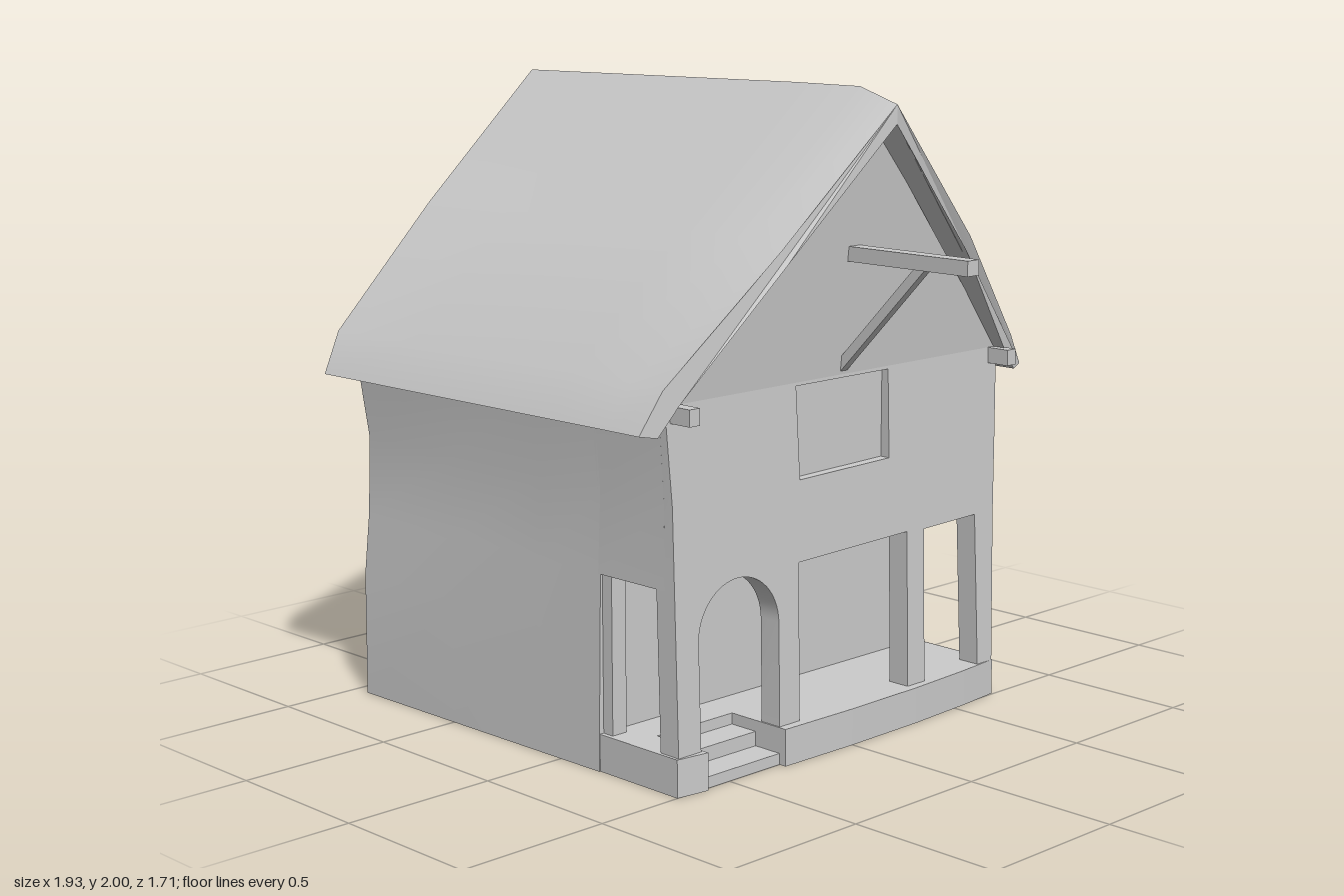
import * as THREE from 'three';
import { toCreasedNormals } from 'three/addons/utils/BufferGeometryUtils.js';

const material = new THREE.MeshStandardMaterial({ color: 0xcccccc });

// Piecewise-linear lookup in rows of [key, value]
function lookup(rows, k) {
  if (k <= rows[0][0]) return rows[0][1];
  for (let i = 1; i < rows.length; i++) {
    const [k0, v0] = rows[i - 1], [k1, v1] = rows[i];
    if (k <= k1) return v0 + (v1 - v0) * (k - k0) / (k1 - k0);
  }
  return rows[rows.length - 1][1];
}

// Skin closed rings of [x, y, z], counter-clockwise as seen from +x, and cap both ends
function loft(rings) {
  const n = rings[0].length, last = rings.length - 1, index = [];
  for (let i = 0; i < last; i++) {
    for (let j = 0; j < n; j++) {
      const k = (j + 1) % n, a = i * n + j, b = i * n + k;
      index.push(a, b, a + n, b, b + n, a + n);
    }
  }
  const flat = (r) => r.map((p) => new THREE.Vector2(-p[2], p[1]));
  for (const [a, b, c] of THREE.ShapeUtils.triangulateShape(flat(rings[last]), [])) {
    index.push(last * n + a, last * n + b, last * n + c);
  }
  for (const [a, b, c] of THREE.ShapeUtils.triangulateShape(flat(rings[0]), [])) index.push(a, c, b);
  const geo = new THREE.BufferGeometry();
  geo.setAttribute('position', new THREE.Float32BufferAttribute(rings.flat(2), 3));
  geo.setIndex(index);
  return toCreasedNormals(geo, 0.4);
}

// Crooked side walls: [height, +z at back, +z at front, -z at back, -z at front]
const wallRows = [
  [0, 0.73, 0.71, 0.70, 0.70],
  [0.4, 0.73, 0.70, 0.72, 0.71],
  [0.6, 0.71, 0.70, 0.74, 0.71],
  [0.85, 0.70, 0.70, 0.765, 0.72],
  [1.14, 0.735, 0.72, 0.74, 0.73],
];
const backX = [[0, -0.94], [0.8, -0.93], [1.14, -0.95]];

// Wall cross-section at one x, for heights from yMin up
function wallRing(yMin, xAt) {
  const rows = wallRows.filter((r) => r[0] >= yMin);
  const point = (r, side) => {
    const x = xAt(r[0]), t = Math.max(0, (x + 0.94) / 1.4), k = side > 0 ? 1 : 3;
    return [x, r[0], side * (r[k] + (r[k + 1] - r[k]) * t)];
  };
  return [...rows.map((r) => point(r, -1)), ...rows.map((r) => point(r, 1)).reverse()];
}

// Roof slab section; the rake leans out toward the ridge and the ridge sags
const roofProfile = [
  [-0.85, 1.07], [-0.77, 1.18], [-0.45, 1.55], [0, 2], [0.4, 1.585], [0.77, 1.2], [0.84, 1.07],
  [0.785, 1.06], [0.72, 1.15], [0.38, 1.54], [0, 1.94], [-0.42, 1.51], [-0.72, 1.14], [-0.8, 1.06],
];
const roofBack = [[-0.84, -0.935], [-0.4, -0.945], [0, -0.93], [0.4, -0.97], [0.75, -0.97], [0.84, -0.945]];
const roofFront = [[0, 0.68], [0.4, 0.6], [0.78, 0.49], [0.85, 0.465]];
const ridgeSag = [[0, -0.015], [0.75, 0], [0.91, 0], [1, -0.045]];

function roofRing(t) {
  return roofProfile.map(([z, y]) => {
    const x0 = lookup(roofBack, z), x1 = lookup(roofFront, Math.abs(z));
    const lift = lookup(ridgeSag, t) * (y - 1.06) / 0.94;
    const skew = z > 0 ? (0.018 - 0.036 * t) * z / 0.84 : 0;
    return [x0 + (x1 - x0) * t, y + lift, z + skew];
  });
}

// Porch front with arch, two openings and a window, drawn in (-z, y)
function porchFrontGeometry() {
  const s = new THREE.Shape();
  s.moveTo(-0.7, 0.1);
  s.lineTo(-0.61, 0.1);
  s.lineTo(-0.61, 0.435);
  s.absarc(-0.445, 0.435, 0.165, Math.PI, 0, true);
  const rest = [[-0.285, 0.1], [-0.2, 0.1], [-0.19, 0.6], [0.295, 0.61], [0.29, 0.1], [0.37, 0.1],
    [0.375, 0.605], [0.62, 0.61], [0.63, 0.1], [0.7, 0.1], [0.71, 0.6], [0.72, 0.85], [0.73, 1.14],
    [-0.72, 1.14], [-0.7, 0.85], [-0.7, 0.6]];
  rest.forEach(([a, y]) => s.lineTo(a, y));
  s.closePath();
  s.holes.push(new THREE.Path([[-0.19, 1.13], [0.215, 1.13], [0.215, 0.855], [-0.18, 0.848]]
    .map(([a, y]) => new THREE.Vector2(a, y))));
  const geo = new THREE.ExtrudeGeometry(s, { depth: 0.075, bevelEnabled: false, curveSegments: 16 });
  geo.rotateY(Math.PI / 2).translate(0.39, 0, 0);
  // The wall leans back as it rises
  const p = geo.attributes.position;
  for (let i = 0; i < p.count; i++) p.setX(i, p.getX(i) + (1.14 - p.getY(i)) * 0.03);
  return toCreasedNormals(geo, 0.5);
}

// Porch floor with bowed front edge and a notch for the steps, drawn in (x, -z)
function porchFloorGeometry() {
  const pts = [[0.1, -0.71], [0.5, -0.71], [0.515, -0.6], [0.3, -0.6], [0.3, -0.29], [0.525, -0.29],
    [0.53, 0], [0.525, 0.3], [0.51, 0.55], [0.495, 0.705], [0.1, 0.705]];
  const s = new THREE.Shape(pts.map(([x, a]) => new THREE.Vector2(x, a)));
  return new THREE.ExtrudeGeometry(s, { depth: 0.115, bevelEnabled: false }).rotateX(-Math.PI / 2);
}

export function createModel() {
  const house = new THREE.Group();
  house.name = 'house';
  const add = (name, geo) => {
    const mesh = new THREE.Mesh(geo, material);
    mesh.name = name;
    house.add(mesh);
    return mesh;
  };
  // Box given by its extents
  const box = (name, x0, x1, y0, y1, z0, z1) => add(name,
    new THREE.BoxGeometry(x1 - x0, y1 - y0, z1 - z0)
      .translate((x0 + x1) / 2, (y0 + y1) / 2, (z0 + z1) / 2));

  // Main walls behind the porch and the storey above it
  add('mainWalls', loft([
    wallRing(0, (y) => lookup(backX, y)),
    wallRing(0, () => -0.5), wallRing(0, () => -0.1), wallRing(0, () => 0.17),
  ]));
  add('upperStorey', loft([wallRing(0.6, () => 0.16), wallRing(0.6, () => 0.44)]));

  // Gable block, its front leaning outward
  const gable = (x, apexX) => [[x, 1.14, 0.725], [x, 1.14, -0.73], [apexX, 1.95, 0]];
  add('gable', loft([gable(-0.945, -0.925), gable(0.465, 0.55)]));

  add('roof', loft([0, 0.25, 0.5, 0.75, 0.91, 1].map(roofRing)));

  // Porch
  add('porchFront', porchFrontGeometry());
  add('porchFloor', porchFloorGeometry());
  box('porchWallPost', 0.165, 0.21, 0.1, 0.61, 0.64, 0.695);
  box('lowerStep', 0.29, 0.5, 0, 0.035, 0.285, 0.605);
  box('upperStep', 0.29, 0.4, 0.03, 0.08, 0.285, 0.605);

  // Hoist beam with diagonal brace
  box('hoistBeam', 0.44, 0.96, 1.485, 1.53, -0.04, 0.01);
  const from = new THREE.Vector3(0.44, 1.145, -0.015), to = new THREE.Vector3(0.78, 1.495, -0.015);
  const brace = add('beamBrace', new THREE.BoxGeometry(from.distanceTo(to), 0.03, 0.03));
  brace.position.copy(from).lerp(to, 0.5);
  brace.rotation.z = Math.atan2(to.y - from.y, to.x - from.x);

  // Wall-plate ends under the eaves
  for (const z of [0.68, -0.71]) box('plateEnd', 0.4, 0.545, 1.09, 1.14, z - 0.02, z + 0.02);

  return house;
}
